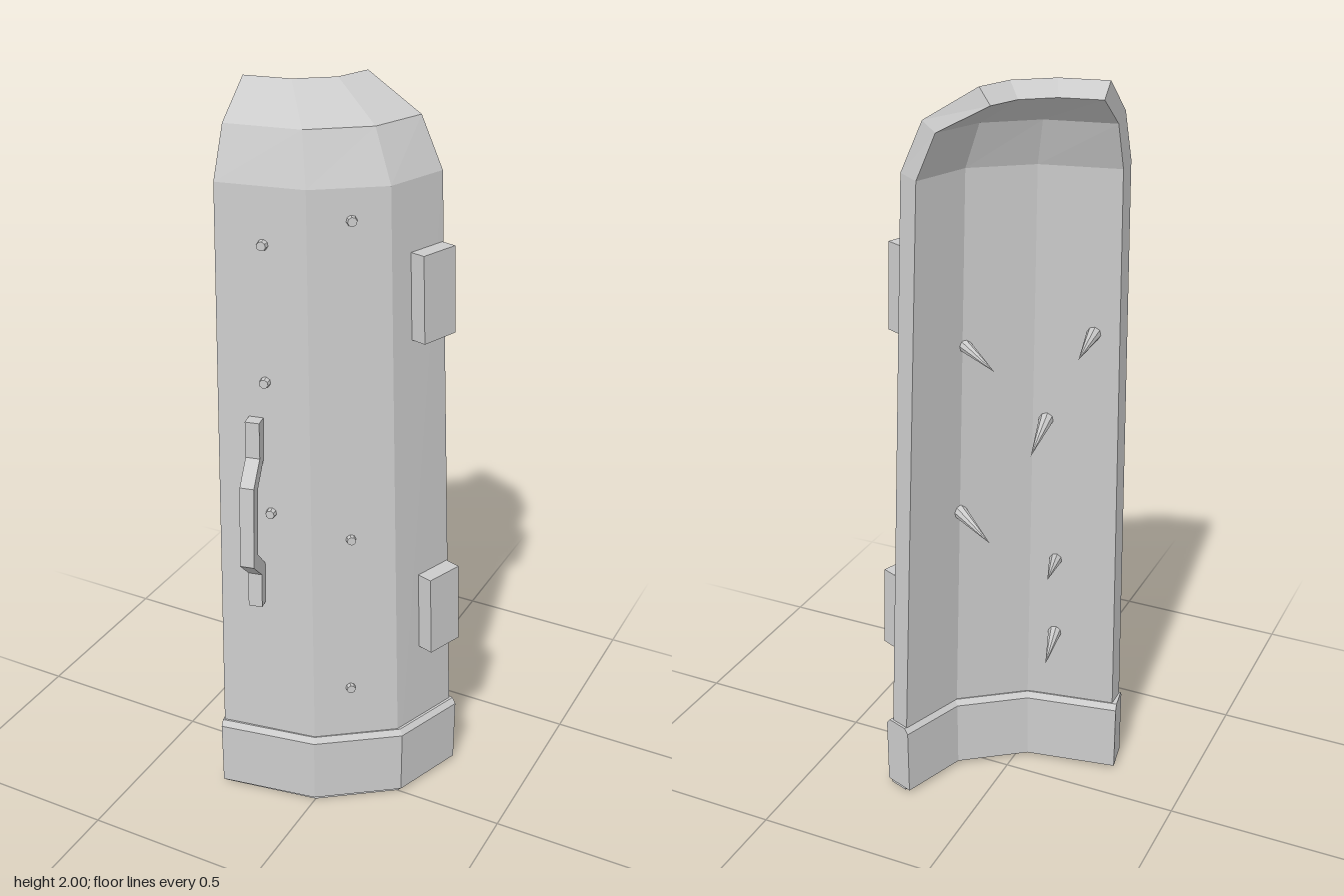
import * as THREE from 'three';

const mat = new THREE.MeshStandardMaterial({ color: 0xcccccc, flatShading: true });

function add(parent, name, geometry) {
  const mesh = new THREE.Mesh(geometry, mat);
  mesh.name = name;
  parent.add(mesh);
  return mesh;
}

// Shift an [x, z] polyline inward by d, with mitred corners
function inset(pts, d) {
  const normal = (a, b) => new THREE.Vector2(a[1] - b[1], b[0] - a[0]).normalize();
  return pts.map((p, i) => {
    const n0 = normal(pts[Math.max(i - 1, 0)], pts[Math.max(i, 1)]);
    const n1 = normal(pts[Math.min(i, pts.length - 2)], pts[Math.min(i + 1, pts.length - 1)]);
    const m = n0.clone().add(n1);
    m.multiplyScalar(2 * d / m.lengthSq());
    return [p[0] - m.x, p[1] - m.y];
  });
}

// Thick open shell: each ring has a height, an outer polyline, a thickness
// and a drop of the inner edge
function shell(rings, straightEnd) {
  const loops = rings.map(({ y, pts, t, drop = 0 }) => {
    const inner = inset(pts, t);
    if (straightEnd) inner[0][0] = pts[0][0];
    return [
      ...pts.map(p => [p[0], y, p[1]]),
      ...inner.reverse().map(p => [p[0], y - drop, p[1]]),
    ];
  });
  const pos = [];
  const quad = (a, b, c, d) => pos.push(...a, ...b, ...c, ...a, ...c, ...d);
  const n = loops[0].length;
  for (let r = 0; r < loops.length - 1; r++) {
    const lo = loops[r], hi = loops[r + 1];
    for (let i = 0; i < n; i++) {
      const j = (i + 1) % n;
      quad(lo[i], lo[j], hi[j], hi[i]);
    }
  }
  const bottom = loops[0], top = loops[loops.length - 1];
  for (let i = 0; i < n / 2 - 1; i++) {
    quad(top[i], top[i + 1], top[n - 2 - i], top[n - 1 - i]);
    quad(bottom[n - 1 - i], bottom[n - 2 - i], bottom[i + 1], bottom[i]);
  }
  const g = new THREE.BufferGeometry();
  g.setAttribute('position', new THREE.Float32BufferAttribute(pos, 3));
  g.computeVertexNormals();
  return g;
}

// Turn a geometry's +y axis to a direction and move it to a point
function aim(mesh, point, dir) {
  mesh.position.copy(point);
  mesh.quaternion.setFromUnitVectors(new THREE.Vector3(0, 1, 0), dir.clone().normalize());
}

export function createModel() {
  const group = new THREE.Group();
  group.name = 'spikedDoor';

  // Tapered three-sided door panel with a stepped shoulder
  add(group, 'doorPanel', shell([
    { y: 0, t: 0.055, pts: [[-0.27, 0.185], [0, 0.14], [0.193, -0.002], [0.265, -0.205]] },
    { y: 1.78, t: 0.053, drop: 0.01, pts: [[-0.27, 0.126], [-0.045, 0.08], [0.12, -0.04], [0.18, -0.205]] },
    { y: 1.91, t: 0.045, drop: 0.022, pts: [[-0.27, 0.077], [-0.075, 0.04], [0.065, -0.065], [0.12, -0.205]] },
    { y: 2, t: 0.037, drop: 0.037, pts: [[-0.27, -0.025], [-0.15, -0.048], [-0.06, -0.115], [-0.025, -0.205]] },
  ], true));

  // Thicker band around the foot, bevelled on top
  const foot = [[-0.271, 0.195], [0, 0.147], [0.202, 0], [0.275, -0.205]];
  add(group, 'footBand', shell([
    { y: 0.01, t: 0.085, pts: foot },
    { y: 0.2, t: 0.085, pts: foot },
    { y: 0.215, t: 0.061, pts: inset(foot, 0.012) },
  ], false));

  // Hinge blocks on the left side face
  for (const [x, y] of [[0.192, 1.485], [0.238, 0.565]]) {
    const hinge = add(group, 'hinge', new THREE.BoxGeometry(0.05, 0.23, 0.11));
    hinge.position.set(x, y, -0.14);
    hinge.rotation.set(0, -0.35, 0.05);
  }

  // Bent strap handle, drawn as its side profile
  const profile = [
    [0.14, 0.63], [0.175, 0.63], [0.17, 0.73], [0.235, 0.79], [0.217, 1.015], [0.162, 1.075],
    [0.16, 1.175], [0.125, 1.175], [0.13, 1.06], [0.183, 1.0], [0.198, 0.81], [0.14, 0.75],
  ].map(([z, y]) => new THREE.Vector2(z - 0.15, y));
  const strap = new THREE.ExtrudeGeometry(new THREE.Shape(profile), { depth: 0.038, bevelEnabled: false });
  strap.translate(0, 0, -0.019);
  const handle = add(group, 'handle', strap);
  handle.position.set(-0.165, 0, 0.15);
  handle.rotation.y = -1.36;

  // Rivet heads on the two front faces
  const faceA = new THREE.Vector3(0.19, 0.03, 0.98);
  const faceB = new THREE.Vector3(0.59, 0.03, 0.8);
  const rivets = [
    [-0.15, 1.635, 0.108, faceA], [-0.145, 1.275, 0.12, faceA], [-0.13, 0.905, 0.13, faceA],
    [0.045, 1.7, 0.018, faceB], [0.063, 0.835, 0.05, faceB], [0.073, 0.37, 0.067, faceB],
  ];
  for (const [x, y, z, dir] of rivets) {
    const rivet = add(group, 'rivet', new THREE.CylinderGeometry(0.012, 0.016, 0.024, 8));
    aim(rivet, new THREE.Vector3(x, y, z), dir);
  }

  // Spikes on the inside, each from its root to its tip
  const spikes = [
    [[-0.2, 1.34, 0.1], [-0.235, 1.34, -0.1]],
    [[-0.08, 1.09, 0.08], [-0.122, 1.07, -0.125]],
    [[-0.1, 0.66, 0.11], [-0.148, 0.69, -0.07]],
    [[-0.1, 0.43, 0.11], [-0.141, 0.42, -0.06]],
    [[0.12, 1.31, -0.035], [-0.037, 1.295, -0.155]],
    [[0.125, 0.83, -0.045], [-0.02, 0.81, -0.15]],
  ];
  for (const [root, tip] of spikes) {
    const a = new THREE.Vector3(...root), b = new THREE.Vector3(...tip);
    const length = a.distanceTo(b);
    const cone = new THREE.ConeGeometry(0.021, length, 8);
    cone.translate(0, length / 2, 0);
    aim(add(group, 'spike', cone), a, b.sub(a));
  }

  return group;
}
